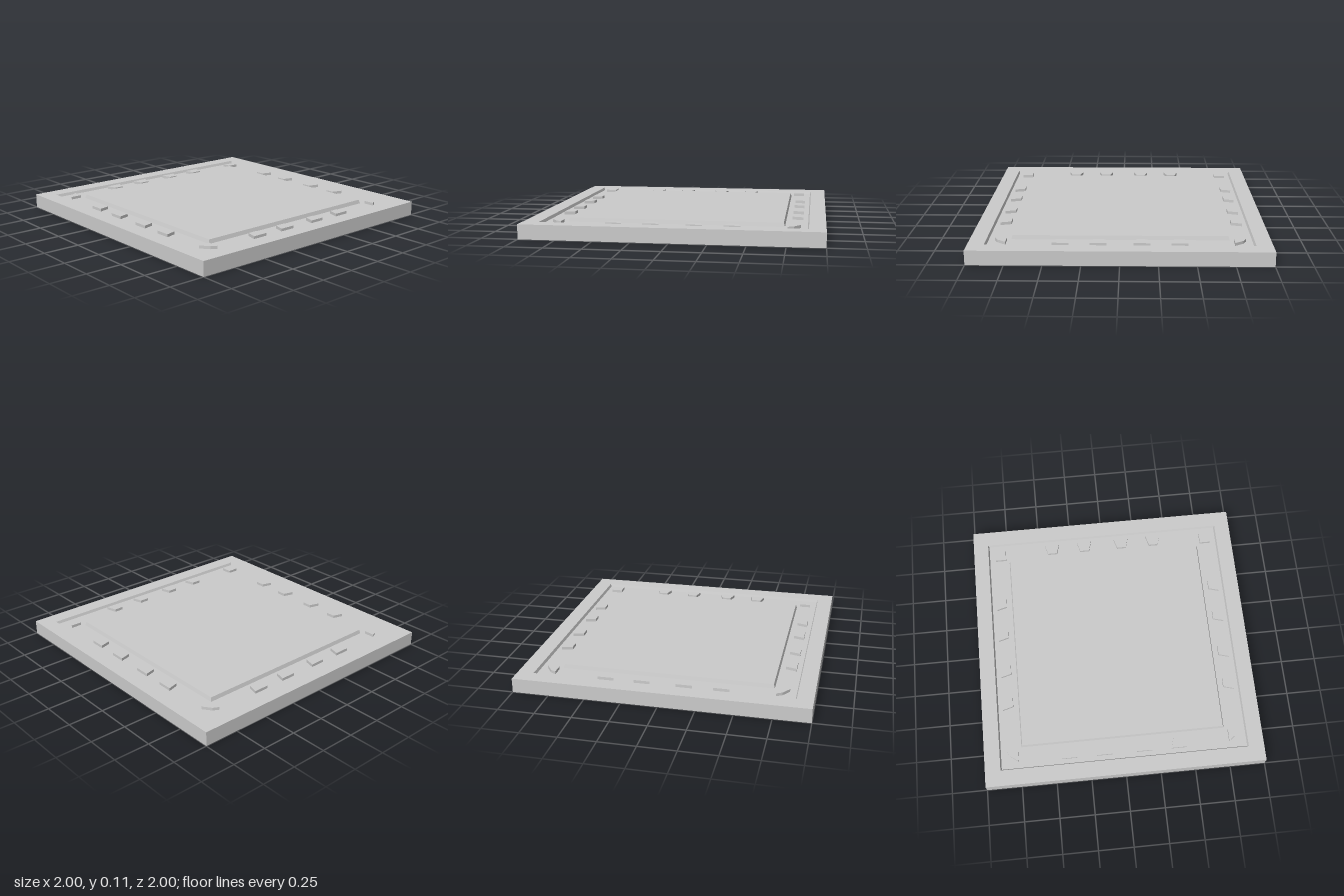
import * as THREE from 'three';

const material = new THREE.MeshStandardMaterial({
  color: 0xcccccc, flatShading: true, side: THREE.DoubleSide,
});

// Open-bottomed prism over a convex outline of [x, z] points,
// ordered counter-clockwise as seen from above.
function openPrism(outline, y0, y1) {
  const pos = [];
  const n = outline.length;
  outline.forEach(([ax, az], i) => {
    const [bx, bz] = outline[(i + 1) % n];
    pos.push(ax, y0, az, bx, y0, bz, bx, y1, bz);
    pos.push(ax, y0, az, bx, y1, bz, ax, y1, az);
    if (i > 0 && i < n - 1) {
      pos.push(outline[0][0], y1, outline[0][1], ax, y1, az, bx, y1, bz);
    }
  });
  const geometry = new THREE.BufferGeometry();
  geometry.setAttribute('position', new THREE.Float32BufferAttribute(pos, 3));
  geometry.computeVertexNormals();
  return geometry;
}

export function createModel() {
  const group = new THREE.Group();
  const add = (name, geometry) => {
    const mesh = new THREE.Mesh(geometry, material);
    mesh.name = name;
    group.add(mesh);
    return mesh;
  };

  // Square shell, open below: wall, rim, sunken channel and raised centre panel
  const profile = [
    [1, 0], [1, 0.1], [0.889, 0.1], [0.881, 0.08],
    [0.732, 0.08], [0.724, 0.107], [0, 0.107],
  ].map(([half, y]) => new THREE.Vector2(half * Math.SQRT2, y));
  add('tileShell', new THREE.LatheGeometry(profile, 4, Math.PI / 4));

  const studBottom = 0.06, studTop = 0.1;

  // Four wedge studs along each side of the channel, narrow end inward
  const wedge = [[-0.055, -0.847], [-0.034, -0.772], [0.034, -0.772], [0.055, -0.847]];
  for (let side = 0; side < 4; side++) {
    for (const offset of [-0.394, -0.144, 0.144, 0.394]) {
      const outline = wedge.map(([x, z]) => [x + offset, z]);
      const stud = add('wedgeStud', openPrism(outline, studBottom, studTop));
      stud.rotation.y = side * Math.PI / 2;
    }
  }

  // One chamfered stud in each corner of the channel
  const corner = [[0.835, 0.757], [0.753, 0.757], [0.753, 0.837], [0.792, 0.816]];
  for (const sx of [-1, 1]) {
    for (const sz of [-1, 1]) {
      const outline = corner.map(([x, z]) => [x * sx, z * sz]);
      if (sx * sz < 0) outline.reverse();
      add('cornerStud', openPrism(outline, studBottom, studTop));
    }
  }
  return group;
}
